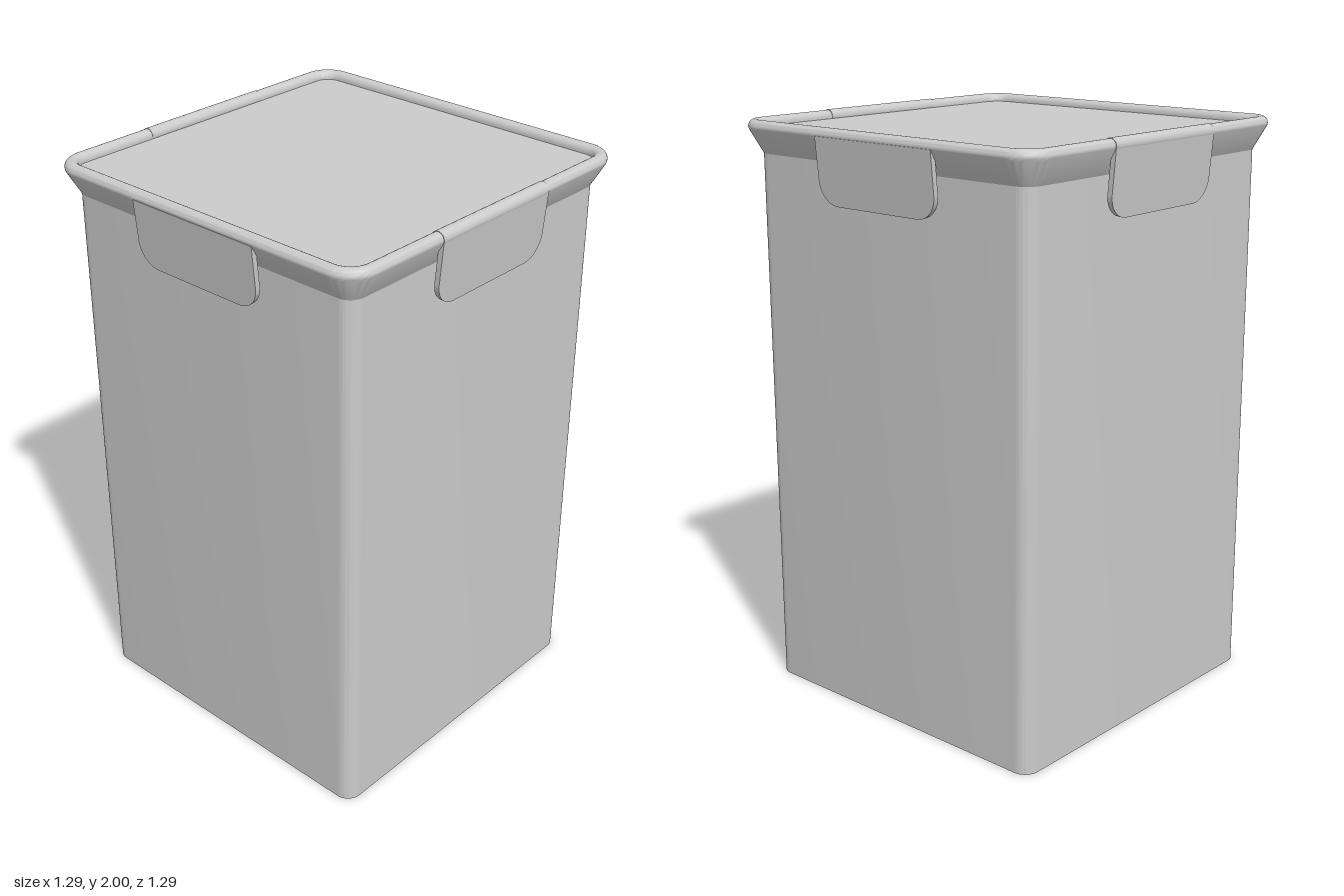
import * as THREE from 'three';
import { toCreasedNormals } from 'three/addons/utils/BufferGeometryUtils.js';

const HALF = 0.597;   // half width of the body
const CORNER = 0.053; // corner radius of the body

function makeMesh(name, geometry) {
  const mesh = new THREE.Mesh(geometry, new THREE.MeshStandardMaterial({ color: 0xcccccc }));
  mesh.name = name;
  return mesh;
}

// Outline of a rounded square with half width h
function roundedSquare(h, r) {
  const s = new THREE.Shape();
  s.absarc(h - r, h - r, r, 0, Math.PI / 2);
  s.absarc(r - h, h - r, r, Math.PI / 2, Math.PI);
  s.absarc(r - h, r - h, r, Math.PI, Math.PI * 1.5);
  s.absarc(h - r, r - h, r, Math.PI * 1.5, Math.PI * 2);
  s.closePath();
  return s;
}

// Upright rounded square block from y0 to y1
function block(y0, y1) {
  const g = new THREE.ExtrudeGeometry(roundedSquare(HALF, CORNER), {
    depth: y1 - y0, bevelEnabled: false, curveSegments: 12,
  });
  g.rotateX(-Math.PI / 2).translate(0, y0, 0);
  return toCreasedNormals(g, 0.6);
}

// Sweep a [half width, height] profile around the rounded square
function sweepRim(profile) {
  const SEG = 12, ring = 4 * (SEG + 1), pos = [], index = [];
  for (const [h, y] of profile) {
    const r = CORNER + h - HALF, c = HALF - CORNER;
    for (let q = 0; q < 4; q++) {
      const sx = q === 0 || q === 3 ? 1 : -1, sz = q < 2 ? 1 : -1;
      for (let i = 0; i <= SEG; i++) {
        const a = (q + i / SEG) * Math.PI / 2;
        pos.push(sx * c + r * Math.cos(a), y, sz * c + r * Math.sin(a));
      }
    }
  }
  for (let j = 0; j < profile.length - 1; j++) {
    for (let i = 0; i < ring; i++) {
      const a = j * ring + i, b = j * ring + (i + 1) % ring;
      index.push(a, a + ring, b, b, a + ring, b + ring);
    }
  }
  const g = new THREE.BufferGeometry();
  g.setAttribute('position', new THREE.Float32BufferAttribute(pos, 3));
  g.setIndex(index);
  return toCreasedNormals(g, 0.6);
}

// Hanging latch plate with rounded lower corners, outer face on z = 0
function latchGeometry() {
  const w = 0.255, h = 0.22, r = 0.08;
  const s = new THREE.Shape();
  s.moveTo(-w, 0);
  s.lineTo(-w, r - h);
  s.absarc(r - w, r - h, r, Math.PI, Math.PI * 1.5);
  s.absarc(w - r, r - h, r, Math.PI * 1.5, Math.PI * 2);
  s.lineTo(w, 0);
  s.closePath();
  const g = new THREE.ExtrudeGeometry(s, { depth: 0.018, bevelEnabled: false, curveSegments: 10 });
  return toCreasedNormals(g.translate(0, 0, -0.018), 0.6);
}

export function createModel() {
  const model = new THREE.Group();
  model.name = 'storageContainer';

  // Container and recessed lid panel
  model.add(makeMesh('body', block(0, 1.89)));
  model.add(makeMesh('lidPanel', block(1.885, 1.97)));

  // Flared lid skirt with a rolled top edge
  const profile = [[HALF, 1.885]];
  for (let i = 0; i <= 14; i++) {
    const a = THREE.MathUtils.degToRad(-30 + i * 15);
    profile.push([0.622 + 0.023 * Math.cos(a), 1.975 + 0.023 * Math.sin(a)]);
  }
  profile.push([0.599, 1.965]);
  model.add(makeMesh('lidRim', sweepRim(profile)));

  // One latch per side; the left and right ones wrap over the rim
  ['front', 'left', 'back', 'right'].forEach((side, i) => {
    const latch = new THREE.Group();
    latch.name = side + 'Latch';
    latch.rotation.y = i * Math.PI / 2;
    const plate = makeMesh(side + 'LatchPlate', latchGeometry());
    plate.position.set(0, 1.97, 0.646);
    plate.rotation.x = 0.09;
    latch.add(plate);
    if (i % 2) {
      const hinge = makeMesh(side + 'LatchHinge', new THREE.CylinderGeometry(0.025, 0.025, 0.51, 24));
      hinge.rotation.z = Math.PI / 2;
      hinge.position.set(0, 1.975, 0.622);
      latch.add(hinge);
    }
    model.add(latch);
  });
  return model;
}
